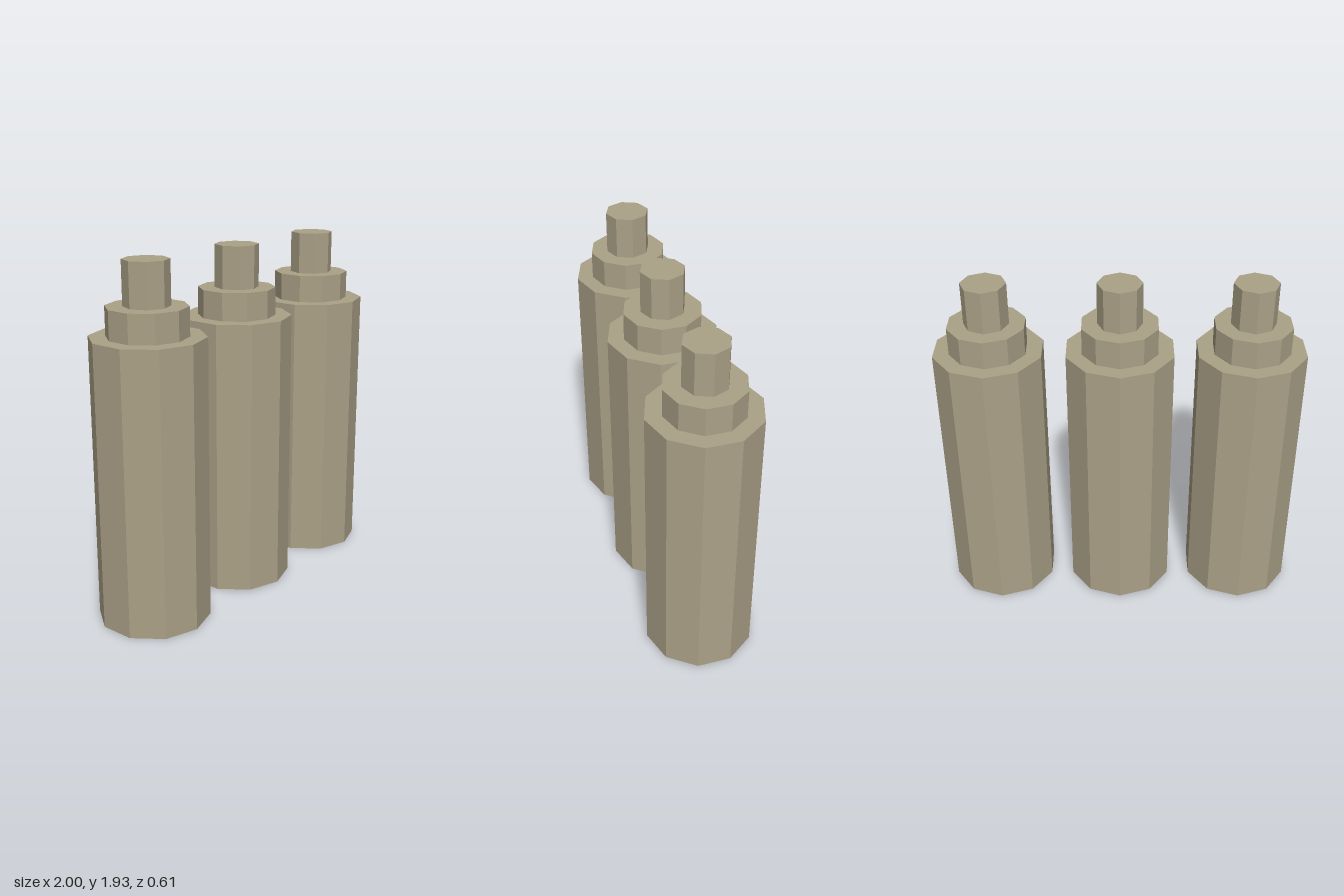
import * as THREE from 'three';

export function createModel() {
  const model = new THREE.Group();
  const material = new THREE.MeshStandardMaterial({ color: 0xaba187, flatShading: true });

  // Stacked prisms: name, radius, bottom, top, sides
  const tiers = [
    ['body', 0.305, 0, 1.545, 10],
    ['collar', 0.215, 1.545, 1.7, 10],
    ['tip', 0.122, 1.7, 1.935, 8],
  ];

  function createPost(name, x) {
    const post = new THREE.Group();
    post.name = name;
    for (const [part, radius, bottom, top, sides] of tiers) {
      const mesh = new THREE.Mesh(
        new THREE.CylinderGeometry(radius, radius, top - bottom, sides), material);
      mesh.name = part;
      mesh.position.y = (bottom + top) / 2;
      post.add(mesh);
    }
    post.position.x = x;
    return post;
  }

  // Three identical posts in a row
  model.add(createPost('rightPost', -0.71), createPost('middlePost', 0), createPost('leftPost', 0.71));
  return model;
}
